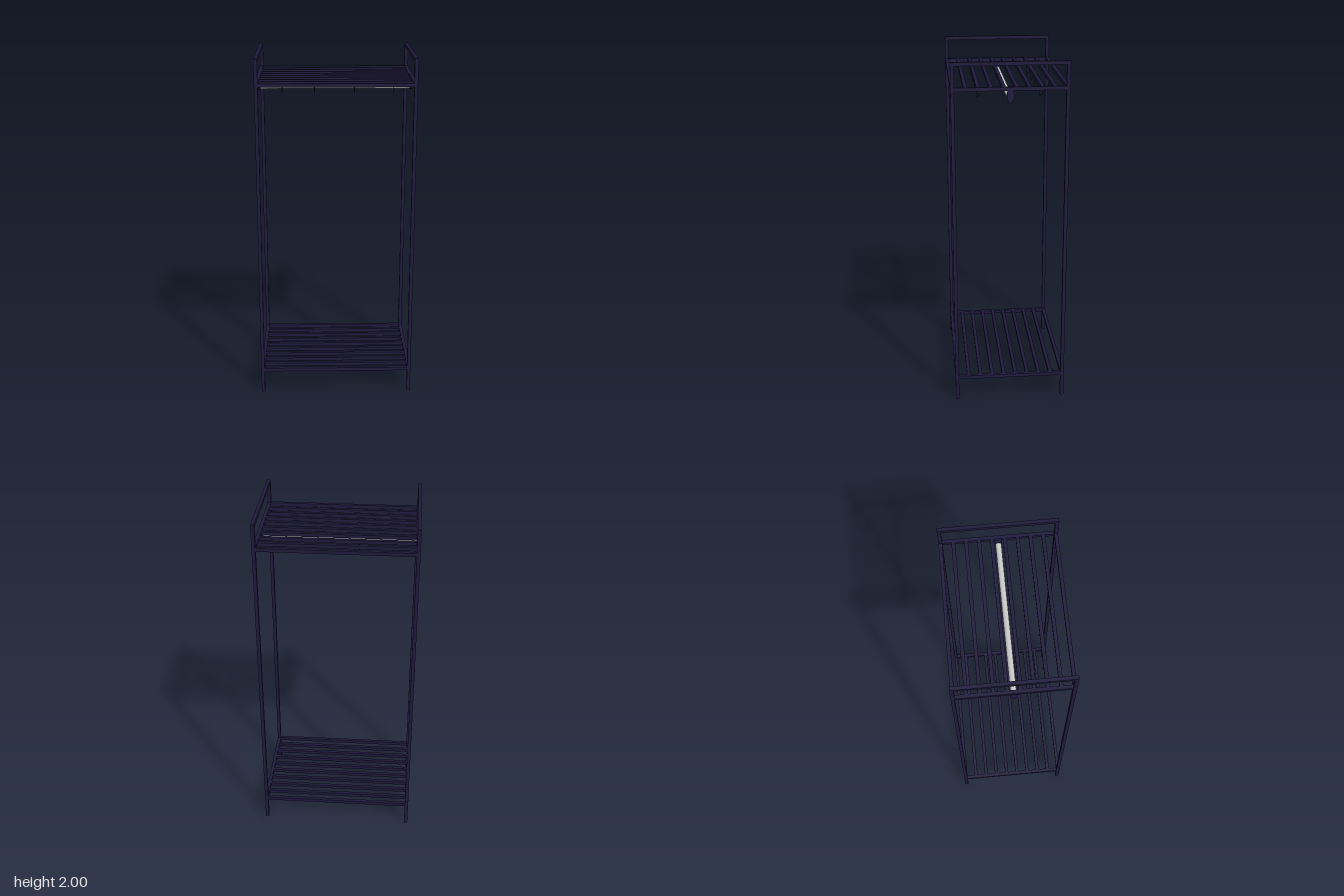
import * as THREE from 'three';

const BAR = 0.02, X = 0.437, Z = 0.31;

export function createModel() {
  const root = new THREE.Group();
  const frameMat = new THREE.MeshStandardMaterial({ color: 0x1f1a3d });
  const rodMat = new THREE.MeshStandardMaterial({ color: 0xcccccc });

  const add = (name, geometry, material, x, y, z, parent = root) => {
    const mesh = new THREE.Mesh(geometry, material);
    mesh.name = name;
    mesh.position.set(x, y, z);
    parent.add(mesh);
    return mesh;
  };

  // Side frames: two square legs joined by a top rail
  const legGeo = new THREE.BoxGeometry(BAR, 2, BAR);
  const topRailGeo = new THREE.BoxGeometry(BAR, BAR, 2 * Z - BAR);
  for (const s of [-1, 1]) {
    add('backLeg', legGeo, frameMat, s * X, 1, -Z);
    add('frontLeg', legGeo, frameMat, s * X, 1, Z);
    add('topRail', topRailGeo, frameMat, s * X, 2 - BAR / 2, 0);
  }

  // Slatted shelves: side rails with ten evenly spaced slats
  const slatGeo = new THREE.BoxGeometry(2 * X - BAR, BAR, BAR);
  const slatCount = 10;
  const addShelf = (name, y) => {
    const shelf = new THREE.Group();
    shelf.name = name;
    root.add(shelf);
    for (const s of [-1, 1]) add('shelfRail', topRailGeo, frameMat, s * X, y, 0, shelf);
    for (let i = 0; i < slatCount; i++) {
      add('slat', slatGeo, frameMat, 0, y, -Z + (2 * Z * i) / (slatCount - 1), shelf);
    }
  };
  addShelf('upperShelf', 1.855);
  addShelf('lowerShelf', 0.143);

  // Hanging rod
  const rodGeo = new THREE.CylinderGeometry(0.016, 0.016, 2 * X - 0.01, 32).rotateZ(Math.PI / 2);
  add('hangingRod', rodGeo, rodMat, 0, 1.797, 0);

  // Oval rod brackets under the upper side rails
  const bracketGeo = new THREE.CylinderGeometry(1, 1, 1, 32)
    .rotateZ(Math.PI / 2)
    .scale(0.016, 0.039, 0.02);
  for (const s of [-1, 1]) add('rodBracket', bracketGeo, frameMat, s * X, 1.816, 0);

  // Thin wire hooks hanging below two of the slats, tips turned to the back
  const hookPath = new THREE.CurvePath();
  const points = [[0, 0], [-0.063, 0], [-0.04, -0.018]].map(([y, z]) => new THREE.Vector3(0, y, z));
  hookPath.add(new THREE.LineCurve3(points[0], points[1]));
  hookPath.add(new THREE.LineCurve3(points[1], points[2]));
  const hookGeo = new THREE.TubeGeometry(hookPath, 24, 0.002, 8);
  for (const z of [-0.17, 0.172]) {
    for (const x of [-0.3, -0.118, 0.106, 0.324]) add('hook', hookGeo, frameMat, x, 1.847, z);
  }

  return root;
}
